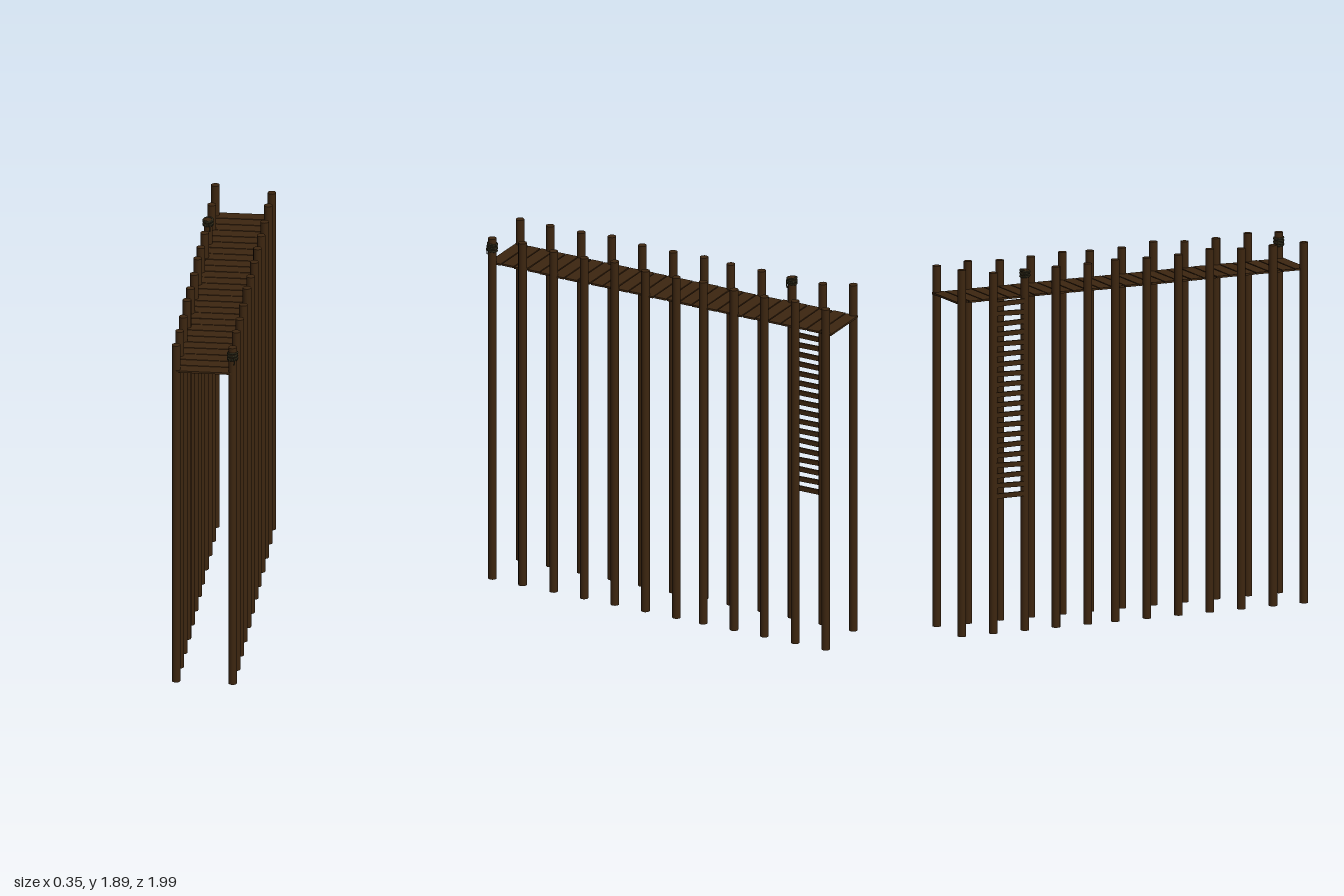
import * as THREE from 'three';

const wood = new THREE.MeshStandardMaterial({ color: 0x3d2610 });
const plankWood = new THREE.MeshStandardMaterial({ color: 0x3d2610 });
const ropeMat = new THREE.MeshStandardMaterial({ color: 0x2f2b1a });

// small repeatable jitter in -1..1
function makeJitter(seed) {
  return () => {
    seed = (seed * 16807) % 2147483647;
    return (seed / 2147483647) * 2 - 1;
  };
}

function add(parent, name, geometry, material, x, y, z) {
  const mesh = new THREE.Mesh(geometry, material);
  mesh.name = name;
  mesh.position.set(x, y, z);
  parent.add(mesh);
  return mesh;
}

// coils of rope around a post, with a short loose end
function ropeWrap(name, x, y, z, coils) {
  const group = new THREE.Group();
  group.name = name;
  group.position.set(x, y, z);
  for (let i = 0; i < coils; i++) {
    const ring = add(group, 'ropeCoil', new THREE.TorusGeometry(0.024, 0.005, 6, 16), ropeMat, 0, (i - (coils - 1) / 2) * 0.009, 0);
    ring.rotation.set(Math.PI / 2 + (i % 2 ? 0.1 : -0.1), 0.06, 0);
  }
  const path = new THREE.CatmullRomCurve3([
    new THREE.Vector3(-0.01, 0.01, 0.024),
    new THREE.Vector3(0.004, 0, 0.028),
    new THREE.Vector3(0.012, -0.02, 0.026),
    new THREE.Vector3(0.01, -0.042, 0.024),
  ]);
  add(group, 'ropeEnd', new THREE.TubeGeometry(path, 10, 0.003, 5), ropeMat, 0, 0, 0);
  return group;
}

export function createModel() {
  const model = new THREE.Group();
  model.name = 'woodenPier';
  const jitter = makeJitter(41);

  // two rows of tall posts
  const postZ = [0.97, 0.795, 0.615, 0.437, 0.26, 0.082, -0.098, -0.253, -0.432, -0.608, -0.787, -0.964];
  const topLeft = [1.865, 1.875, 1.865, 1.865, 1.88, 1.865, 1.865, 1.872, 1.865, 1.862, 1.873, 1.865];
  const topRight = [1.865, 1.865, 1.865, 1.878, 1.865, 1.865, 1.872, 1.865, 1.865, 1.862, 1.865, 1.895];
  const posts = new THREE.Group();
  posts.name = 'posts';
  model.add(posts);
  postZ.forEach((z, i) => {
    for (const side of [1, -1]) {
      const h = (side > 0 ? topLeft : topRight)[i];
      const post = add(posts, side > 0 ? 'leftPost' : 'rightPost', new THREE.CylinderGeometry(0.022, 0.022, h, 12), wood, side * 0.144, h / 2, z);
      post.rotation.y = jitter();
    }
  });

  // deck of slightly uneven planks
  const deck = new THREE.Group();
  deck.name = 'deck';
  model.add(deck);
  const count = 27;
  const pitch = 1.99 / count;
  for (let i = 0; i < count; i++) {
    const z = -0.995 + pitch * (i + 0.5);
    const plank = add(deck, 'plank', new THREE.BoxGeometry(0.28 + 0.005 * jitter(), 0.01, pitch - 0.006), plankWood, 0.003 * jitter(), 1.725, z);
    plank.rotation.y = 0.008 * jitter();
  }

  // ladder rungs fixed across two posts on the right side
  const ladder = new THREE.Group();
  ladder.name = 'ladder';
  model.add(ladder);
  for (let i = 0; i < 20; i++) {
    const rung = add(ladder, 'rung', new THREE.BoxGeometry(0.012, 0.025, 0.18), plankWood, -0.157, 0.71 + i * 0.0523, -0.697);
    rung.rotation.x = 0.025 * jitter();
  }

  // rope tied around two posts
  model.add(ropeWrap('frontRope', 0.144, 1.817, 0.97, 5));
  model.add(ropeWrap('ladderRope', -0.144, 1.846, -0.608, 4));

  return model;
}
